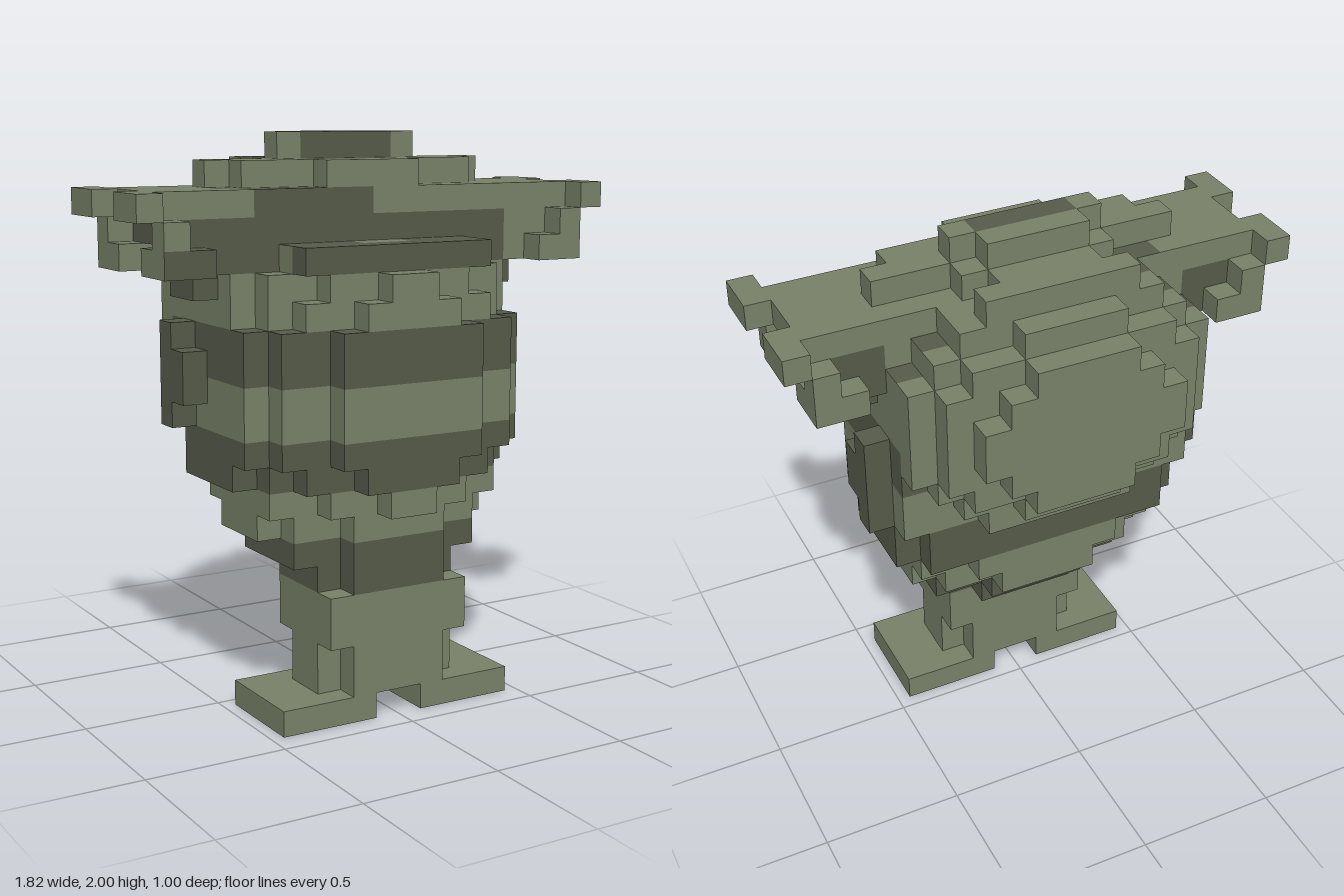
import * as THREE from 'three';

const U = 1 / 11; // edge of one block; z index k lies at (k - 0.5) blocks

const olive = new THREE.MeshStandardMaterial({ color: 0x7a8269 });
olive.name = 'olive';
const darkOlive = new THREE.MeshStandardMaterial({ color: 0x575c4a });
darkOlive.name = 'dark olive';

// Torso and cap: per row, [half width, back k, front k]
const torsoRows = {
  5: [[2, 0, 5], [3, 1, 4]],
  6: [[4, 0, 4], [2, -1, 5]],
  7: [[5, 0, 3], [4, -1, 4], [2, -2, 5]],
  8: [[5, -1, 4], [3, -2, 5], [1, -2, 6]],
  9: [[6, -1, 3], [5, -2, 4], [4, -2, 5], [2, -2, 6]],
  10: [[6, -1, 4], [5, -2, 5], [3, -2, 6]],
  11: [[6, -2, 4], [5, -2, 5], [3, -2, 6]],
  12: [[6, -2, 4], [5, -2, 5], [3, -2, 6]],
  13: [[6, -2, 4], [5, -2, 5], [3, -2, 6]],
  14: [[6, -2, 4], [5, -2, 5], [3, -2, 6]],
  15: [[6, -2, 3], [5, -2, 4], [4, -2, 5], [2, -2, 6]],
  16: [[6, -2, 3], [5, -2, 4], [3, -2, 5], [1, -2, 6]],
};
const capRows = {
  17: [[6, -2, 3], [4, -2, 5]],
  18: [[6, -1, 3], [5, -2, 3]],
  19: [[6, -1, 3], [4, -2, 3]],
  20: [[6, 0, 1], [5, 0, 2], [3, -1, 2], [2, -3, 3]],
  21: [[3, 0, 1], [2, -1, 1]],
};

// Dark bands and patches; n is the face axis (0 x, 1 y, 2 z), s its sign
function isDark(part, x, y, k, n, s) {
  const front = n === 2 && s > 0;
  const top = n === 1 && s > 0;
  if (part === 'sidePatches') return true;
  if (part === 'torso') return [5, 6, 9, 10, 13, 14].includes(y);
  if (part === 'arms') return y < 19 && !(front && x > 0 && y > 16);
  if (part === 'armTips') return y === 17 && x < 0 && k >= 2 && n !== 0;
  if (part === 'cap') {
    const central = x >= -2 && x < 2;
    if (y === 17) return (n !== 0 || k >= 4) && !(top && k === 3 && x >= -1 && x < 1);
    if (y === 18) return front || top;
    if (y === 19) {
      return (front && x >= -5 && x < 0) || (top && x >= -5 && x < -2) || (top && x === -6 && k === 1);
    }
    if (y === 20) return top && central && k === 1;
    return central && k === 0 && (front || top);
  }
  return false;
}

export function createModel() {
  const cells = new Map();
  const key = (x, y, k) => `${x},${y},${k}`;

  // Fill a block range, and its mirror image when asked
  function fill(part, x0, x1, y0, y1, k0, k1, mirror = false) {
    for (let x = x0; x < x1; x++)
      for (let y = y0; y < y1; y++)
        for (let k = k0; k < k1; k++) {
          for (const i of mirror ? [x, -1 - x] : [x])
            if (!cells.has(key(i, y, k))) cells.set(key(i, y, k), { part, p: [i, y, k] });
        }
  }
  const centred = (part, h, y0, y1, k0, k1) => fill(part, -h, h, y0, y1, k0, k1);
  const pair = (part, x0, x1, y0, y1, k0, k1) => fill(part, x0, x1, y0, y1, k0, k1, true);

  // Feet and pedestal legs
  pair('feet', 1, 5, 0, 1, 1, 5);
  centred('legs', 2, 1, 3, 1, 5);
  centred('legs', 3, 1, 3, 2, 4);
  centred('legs', 3, 3, 5, 1, 5);

  // Rounded torso and cap
  for (const [part, rows] of [['torso', torsoRows], ['cap', capRows]])
    for (const [y, slabs] of Object.entries(rows))
      for (const [h, k0, k1] of slabs) centred(part, h, +y, +y + 1, k0, k1);

  // Stepped oval discs on the back: half widths from the middle row outwards
  for (const [k, widths] of [
    [-3, [6, 6, 5, 4, 3]],
    [-4, [5, 5, 4, 2]],
    [-5, [4, 3, 2]],
  ])
    widths.forEach((h, i) => {
      centred('backDisc', h, 16 + i, 17 + i, k, k + 1);
      centred('backDisc', h, 15 - i, 16 - i, k, k + 1);
    });

  // Raised patches on the flanks
  pair('sidePatches', 6, 7, 11, 15, -1, 0);
  pair('sidePatches', 6, 7, 12, 14, 0, 1);

  // Outstretched arms, stepping down towards the body
  pair('arms', 6, 7, 16, 17, 0, 2);
  pair('arms', 6, 7, 17, 18, -1, 3);
  pair('arms', 6, 8, 18, 19, -1, 3);
  pair('arms', 6, 9, 19, 20, -1, 3);

  // Curled prongs at the front and back of each arm end
  for (const [k0, outer] of [[2, 3], [-2, -2]]) {
    pair('armTips', 9, 10, 19, 20, k0, k0 + 2);
    pair('armTips', 8, 9, 18, 19, outer, outer + 1);
    pair('armTips', 7, 9, 17, 18, k0, k0 + 2);
  }

  // Collect the exposed faces of each part, by colour
  const faces = {};
  for (const { part, p } of cells.values()) {
    const lists = (faces[part] ??= [[], []]);
    for (let n = 0; n < 3; n++)
      for (const s of [-1, 1]) {
        const next = [...p];
        next[n] += s;
        if (cells.has(key(...next))) continue;
        const quad = [[0, 0], [1, 0], [1, 1], [0, 1]].map(([a, b]) => {
          const c = [...p];
          c[n] += s > 0 ? 1 : 0;
          c[(n + 1) % 3] += a;
          c[(n + 2) % 3] += b;
          return [c[0] * U, c[1] * U, (c[2] - 0.5) * U];
        });
        if (s < 0) quad.reverse();
        const list = lists[isDark(part, ...p, n, s) ? 1 : 0];
        for (const i of [0, 1, 2, 0, 2, 3]) list.push(...quad[i]);
      }
  }

  const model = new THREE.Group();
  model.name = 'blockFigure';
  for (const [part, [light, dark]] of Object.entries(faces)) {
    const geometry = new THREE.BufferGeometry();
    geometry.setAttribute('position', new THREE.Float32BufferAttribute([...light, ...dark], 3));
    geometry.addGroup(0, light.length / 3, 0);
    geometry.addGroup(light.length / 3, dark.length / 3, 1);
    geometry.computeVertexNormals();
    const mesh = new THREE.Mesh(geometry, [olive, darkOlive]);
    mesh.name = part;
    model.add(mesh);
  }
  return model;
}
